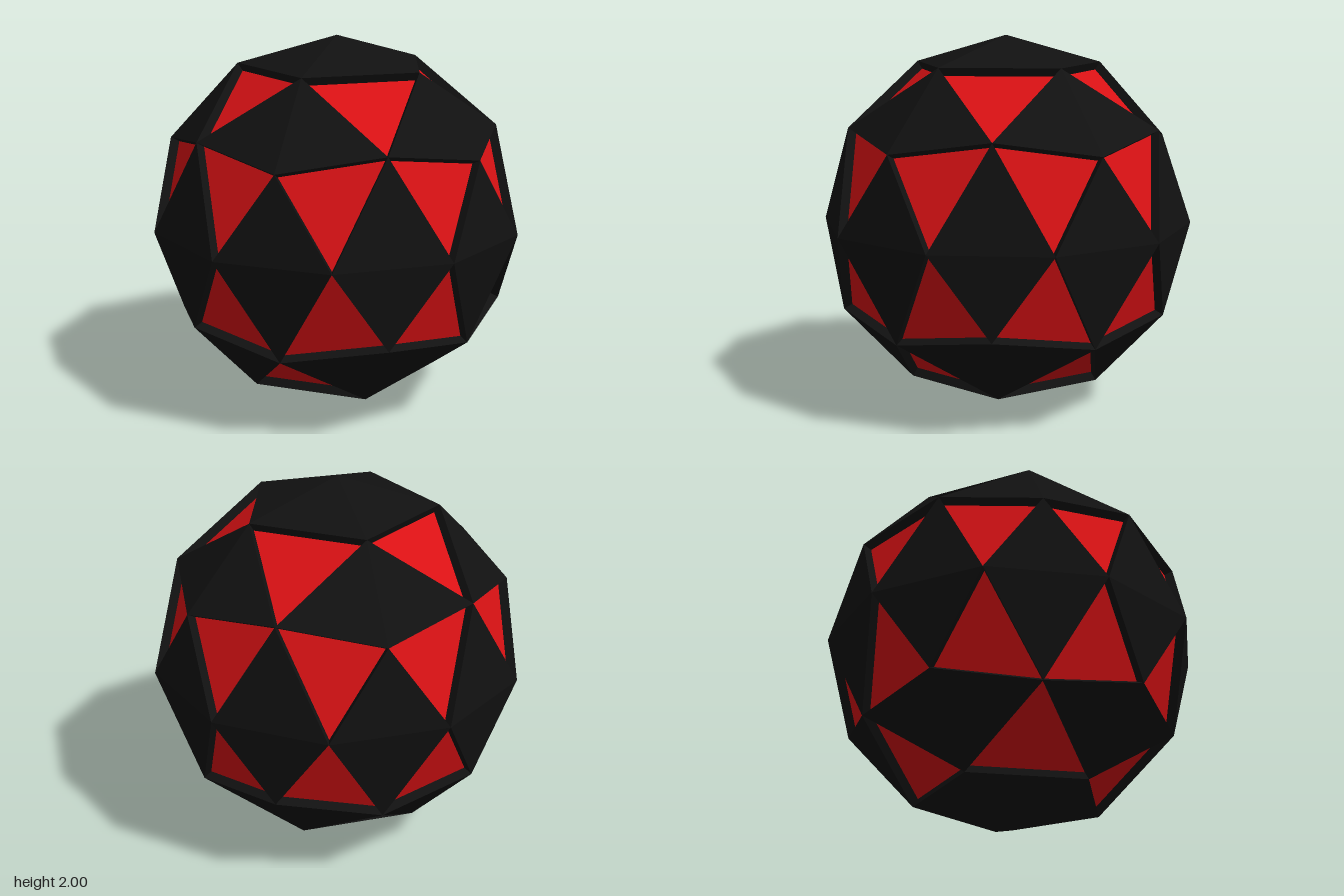
import * as THREE from 'three';

const INSET = 0.95; // radius of the recessed red panels
const dark = new THREE.MeshStandardMaterial({ color: 0x111111, flatShading: true });
const red = new THREE.MeshStandardMaterial({ color: 0xd81114, flatShading: true });

// Unit-sphere point from height and azimuth in degrees
function ringPoint(y, deg) {
  const r = Math.sqrt(1 - y * y), a = THREE.MathUtils.degToRad(deg);
  return new THREE.Vector3(r * Math.cos(a), y, r * Math.sin(a));
}

const midpoint = (a, b) => a.clone().add(b).normalize();

// Order a triangle so that it faces outward
function outward(a, b, c) {
  const n = b.clone().sub(a).cross(c.clone().sub(a));
  return n.dot(a) > 0 ? [a, b, c] : [a, c, b];
}

function trianglesMesh(name, points, material) {
  const geometry = new THREE.BufferGeometry().setFromPoints(points);
  geometry.computeVertexNormals();
  const mesh = new THREE.Mesh(geometry, material);
  mesh.name = name;
  return mesh;
}

export function createModel() {
  const parts = { polarPanels: [], diamondPanels: [], recessWalls: [], redPanels: [] };

  // Outer dark facet
  const raised = (part, ...t) => parts[part].push(...outward(...t));

  // Red facet sunk toward the centre, with walls up to the surface
  function recessed(...t) {
    const top = outward(...t);
    const low = top.map((p) => p.clone().multiplyScalar(INSET));
    parts.redPanels.push(...low);
    for (let i = 0; i < 3; i++) {
      const j = (i + 1) % 3;
      parts.recessWalls.push(top[i], top[j], low[j], top[i], low[j], low[i]);
    }
  }

  // Each hemisphere: five cap faces round the pole and five belt faces,
  // every face split into a centre and three corners
  const h = 1 / Math.sqrt(5);
  for (const s of [1, -1]) {
    const pole = new THREE.Vector3(0, s, 0);
    const start = s > 0 ? 0 : 36;
    for (let k = 0; k < 5; k++) {
      const az = start + 72 * k;
      const a = ringPoint(s * h, az);
      const b = ringPoint(s * h, az + 72);
      const c = ringPoint(-s * h, az + 36);
      const ab = midpoint(a, b);

      // Cap face: red centre, dark corners
      const pa = midpoint(pole, a), pb = midpoint(pole, b);
      raised('polarPanels', pole, pa, pb);
      raised('diamondPanels', a, pa, ab);
      raised('diamondPanels', b, pb, ab);
      recessed(pa, pb, ab);

      // Belt face: two red corners, dark centre and tip
      const ac = midpoint(a, c), bc = midpoint(b, c);
      recessed(a, ab, ac);
      recessed(b, ab, bc);
      raised('diamondPanels', ab, ac, bc);
      raised('diamondPanels', c, ac, bc);
    }
  }

  const group = new THREE.Group();
  group.name = 'facetedBall';
  for (const [name, points] of Object.entries(parts)) {
    group.add(trianglesMesh(name, points, name === 'redPanels' ? red : dark));
  }
  group.position.y = 1;
  const model = new THREE.Group();
  model.name = 'model';
  model.add(group);
  return model;
}
